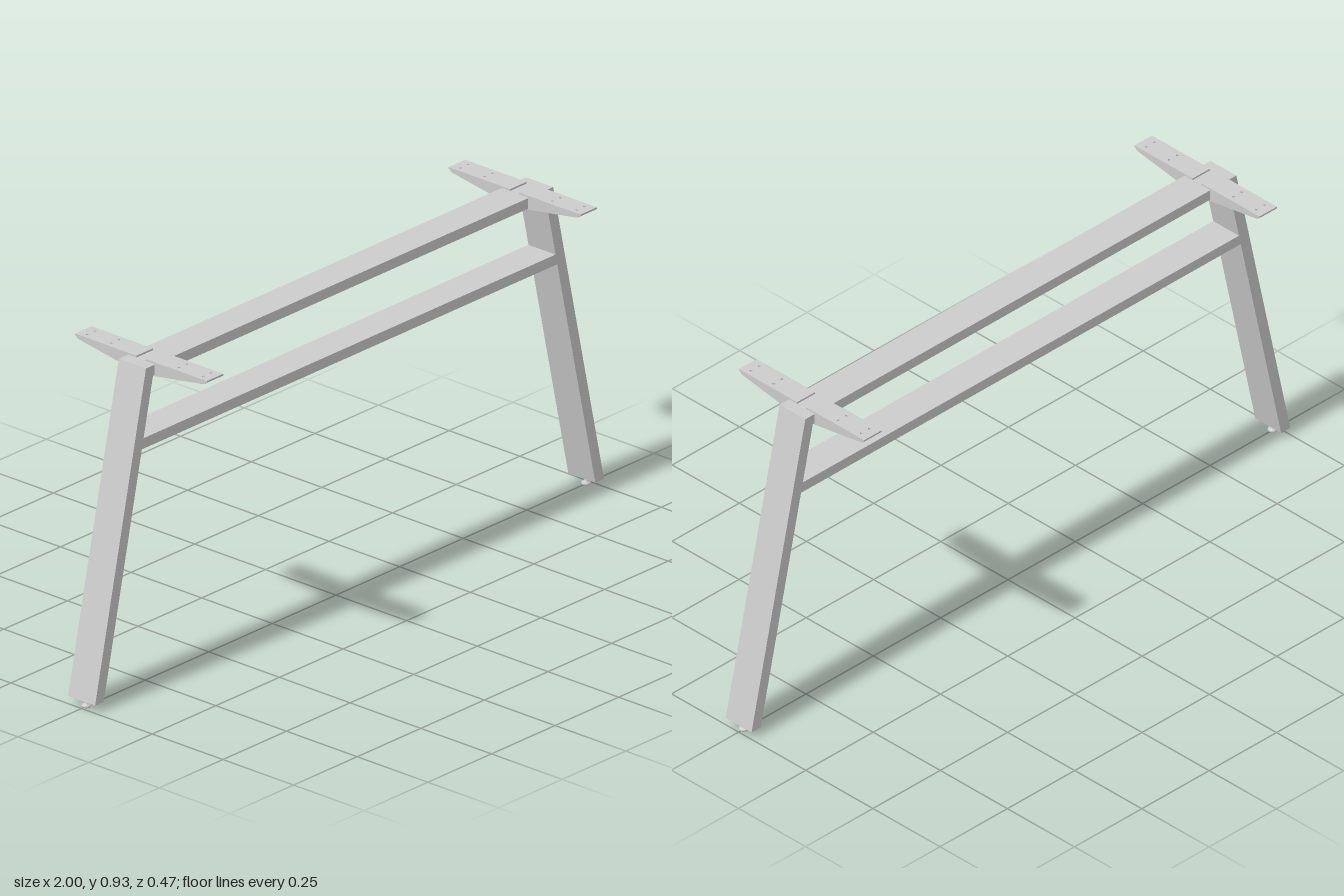
import * as THREE from 'three';

const grey = new THREE.MeshStandardMaterial({ color: 0xcccccc });

function part(name, geometry, x = 0, y = 0, z = 0) {
  const mesh = new THREE.Mesh(geometry, grey);
  mesh.name = name;
  mesh.position.set(x, y, z);
  return mesh;
}

function shapeOf(points) {
  return new THREE.Shape(points.map(([x, y]) => new THREE.Vector2(x, y)));
}

function extrude(shape, depth) {
  return new THREE.ExtrudeGeometry(shape, { depth, bevelEnabled: false, curveSegments: 6 });
}

const HALF_DEPTH = 0.048; // half the depth of legs and beams
const SHEET = 0.005; // bracket sheet thickness

// Beam with ends cut to the slope of the legs
function beam(name, bottom, top, halfBottom, halfTop) {
  const outline = shapeOf([[-halfBottom, bottom], [halfBottom, bottom], [halfTop, top], [-halfTop, top]]);
  return part(name, extrude(outline, HALF_DEPTH * 2), 0, 0, -HALF_DEPTH);
}

// Tapered support arm, open underneath, reaching towards +z
function createBracket() {
  const bracket = new THREE.Group();
  bracket.name = 'supportBracket';
  const half = 0.0325;

  // Top plate with four screw holes
  const plate = shapeOf([[-half, 0.016], [half, 0.016], [half, 0.233], [-half, 0.233]]);
  for (const x of [-0.015, 0.015]) {
    for (const z of [0.12, 0.205]) {
      plate.holes.push(new THREE.Path().absarc(x, z, 0.004, 0, Math.PI * 2, true));
    }
  }
  const plateGeometry = extrude(plate, SHEET).rotateX(Math.PI / 2);
  bracket.add(part('bracketPlate', plateGeometry, 0, 0.932, 0));

  // Tapered side flanges
  const side = shapeOf([
    [HALF_DEPTH, 0.892], [0.218, 0.919], [0.225, 0.921], [0.23, 0.927], [HALF_DEPTH, 0.927],
  ]);
  const sideGeometry = extrude(side, SHEET).rotateY(-Math.PI / 2);
  bracket.add(part('bracketFlange', sideGeometry, half));
  bracket.add(part('bracketFlange', sideGeometry, -half + SHEET));
  return bracket;
}

// One end of the frame: sloping leg, levelling foot and two brackets
function createEnd() {
  const end = new THREE.Group();
  end.name = 'frameEnd';

  const leg = shapeOf([[0.966, 0.022], [1, 0.022], [0.8, 0.925], [0.766, 0.925]]);
  end.add(part('leg', extrude(leg, HALF_DEPTH * 2), 0, 0, -HALF_DEPTH));

  const footProfile = [[0, 0], [0.012, 0], [0.0135, 0.003], [0.012, 0.007], [0.004, 0.01], [0.004, 0.023]]
    .map(([r, y]) => new THREE.Vector2(r, y));
  end.add(part('levellingFoot', new THREE.LatheGeometry(footProfile, 20), 0.982));

  for (const turn of [0, Math.PI]) {
    const bracket = createBracket();
    bracket.position.x = 0.734;
    bracket.rotation.y = turn;
    end.add(bracket);
  }
  return end;
}

export function createModel() {
  const model = new THREE.Group();
  model.name = 'tableFrame';

  model.add(beam('topBeam', 0.895, 0.925, 0.773, 0.766));
  model.add(beam('lowerBeam', 0.698, 0.728, 0.817, 0.81));

  for (const turn of [0, Math.PI]) {
    const end = createEnd();
    end.rotation.y = turn;
    model.add(end);
  }
  return model;
}
